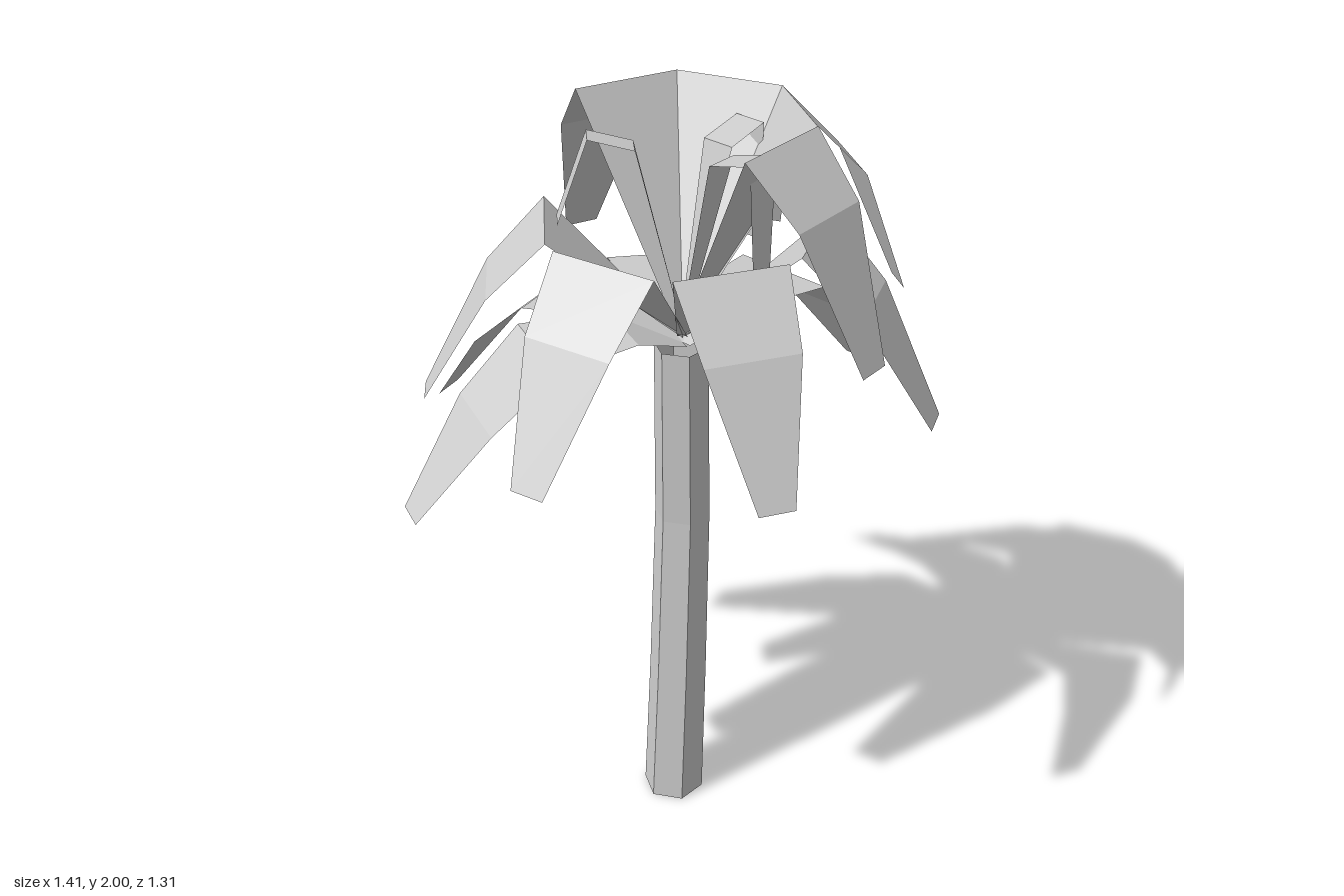
import * as THREE from 'three';

const CX = -0.02, CZ = 0.056; // crown centre

// Loft quads between rings of points
function loft(rings, closed) {
  const pos = [], idx = [], n = rings[0].length;
  rings.forEach(r => r.forEach(p => pos.push(...p)));
  for (let i = 0; i < rings.length - 1; i++) {
    for (let j = 0; j < (closed ? n : n - 1); j++) {
      const a = i * n + j, b = i * n + (j + 1) % n;
      idx.push(a, a + n, b, b, a + n, b + n);
    }
  }
  const indexed = new THREE.BufferGeometry();
  indexed.setAttribute('position', new THREE.Float32BufferAttribute(pos, 3));
  indexed.setIndex(idx);
  const g = indexed.toNonIndexed();
  g.computeVertexNormals();
  return g;
}

// Folded leaf along an angle; stations are [distance, height, width]
function leafGeometry(stations, degrees) {
  const a = THREE.MathUtils.degToRad(degrees), c = Math.cos(a), s = Math.sin(a);
  return loft(stations.map(([d, y, w]) => [-1, 1].map(k => [
    CX + c * d + s * k * w / 2, y, CZ + s * d - c * k * w / 2,
  ])), false);
}

export function createModel() {
  const group = new THREE.Group();
  const grey = new THREE.MeshStandardMaterial({
    color: 0xcccccc, side: THREE.DoubleSide, flatShading: true,
  });
  grey.name = 'light grey';
  const add = (name, geometry) => {
    const mesh = new THREE.Mesh(geometry, grey);
    mesh.name = name;
    group.add(mesh);
  };

  // Six-sided, slightly bent open trunk: [centre x, y, centre z, radius]
  const trunk = [
    [-0.056, 0.005, 0.06, 0.083], [-0.036, 0.43, 0.058, 0.078],
    [-0.017, 0.91, 0.054, 0.073], [-0.022, 1.405, 0.053, 0.07],
  ];
  add('trunk', loft(trunk.map(([x, y, z, r]) =>
    Array.from({ length: 6 }, (_, i) => {
      const a = i * Math.PI / 3;
      return [x + r * Math.cos(a), y, z + r * Math.sin(a)];
    })), true));

  // Three tiers of four fronds, each fanned in equal steps
  const tiers = [
    ['lowerFrond', 0, [[0, 1.41, 0.05], [0.16, 1.485, 0.2], [0.38, 1.475, 0.28], [0.545, 1.33, 0.235], [0.726, 1.09, 0.09]]],
    ['middleFrond', 222.5, [[0, 1.43, 0.03], [0.33, 1.75, 0.28], [0.475, 1.6, 0.235], [0.643, 1.3, 0.09]]],
    ['upperFrond', 85, [[0, 1.45, 0.03], [0.28, 2, 0.28], [0.415, 1.86, 0.235], [0.557, 1.515, 0.09]]],
  ];
  for (const [name, start, stations] of tiers) {
    for (let i = 0; i < 4; i++) add(name, leafGeometry(stations, start - i * 52.5));
  }

  // Narrow young shoots in the heart of the crown
  const shoots = [
    [-138, [[0, 1.45, 0.02], [0.115, 1.93, 0.07], [0.225, 1.96, 0.068], [0.3, 1.75, 0.068]]],
    [0, [[0, 1.45, 0.02], [0.12, 1.9, 0.09], [0.235, 1.93, 0.088], [0.242, 1.62, 0.05]]],
    [87, [[0, 1.45, 0.02], [0.115, 1.92, 0.09], [0.235, 1.95, 0.095], [0.24, 1.65, 0.06]]],
  ];
  for (const [angle, stations] of shoots) add('shoot', leafGeometry(stations, angle));

  return group;
}
